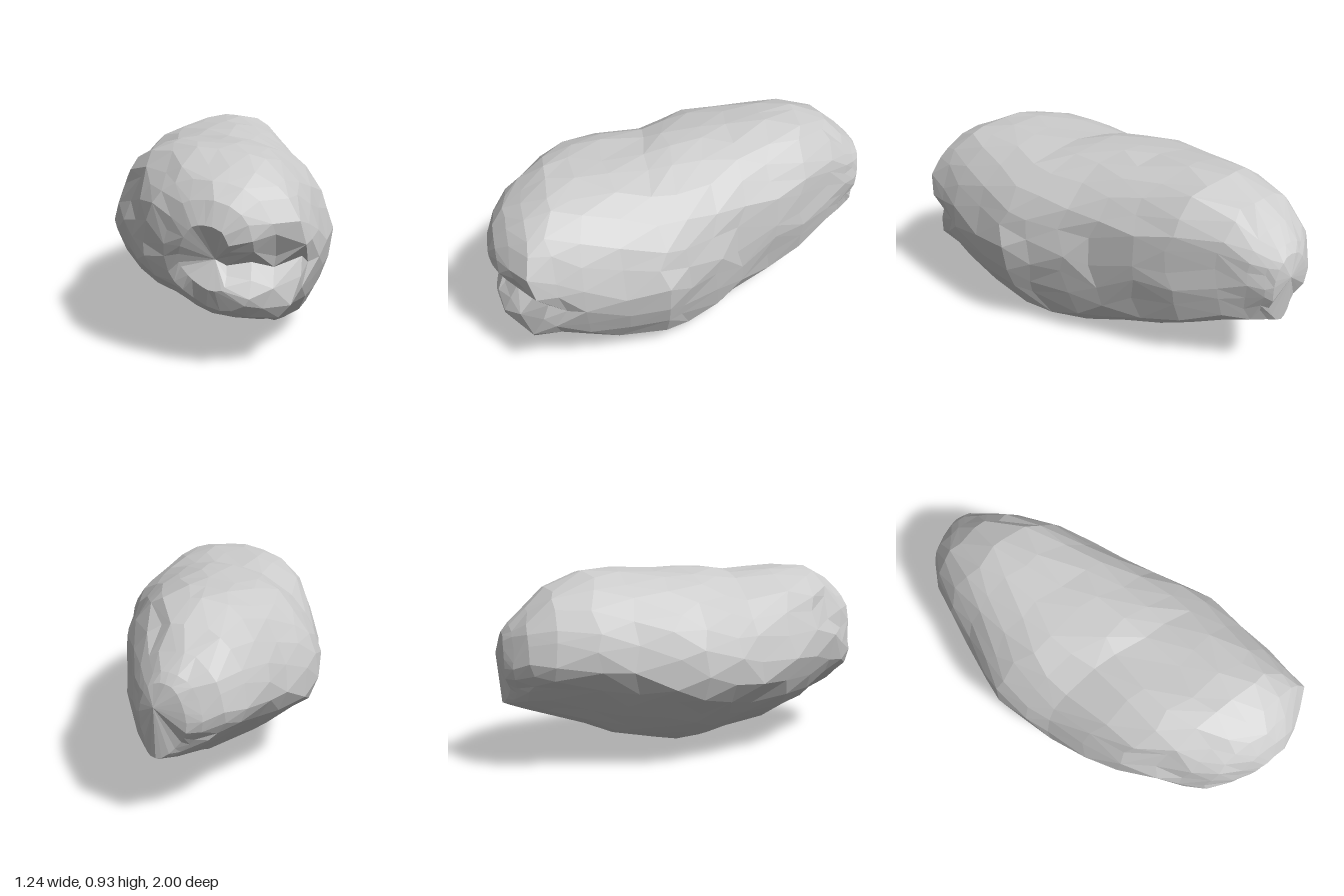
import * as THREE from 'three';

// Stations along the stone: z, left x, right x, bottom y, top y
const STATIONS = [
  [-0.975, -0.34, -0.12, 0.31, 0.65],
  [-0.94, -0.40, -0.09, 0.30, 0.69],
  [-0.87, -0.47, -0.04, 0.27, 0.76],
  [-0.76, -0.525, 0.04, 0.235, 0.85],
  [-0.58, -0.56, 0.17, 0.16, 0.92],
  [-0.40, -0.58, 0.25, 0.09, 0.93],
  [-0.22, -0.615, 0.34, 0.04, 0.925],
  [-0.08, -0.625, 0.42, 0.01, 0.92],
  [0.08, -0.58, 0.51, 0.0, 0.915],
  [0.20, -0.53, 0.58, 0.025, 0.905],
  [0.40, -0.46, 0.605, 0.06, 0.925],
  [0.57, -0.37, 0.615, 0.11, 0.93],
  [0.71, -0.25, 0.615, 0.165, 0.92],
  [0.82, -0.17, 0.625, 0.20, 0.86],
  [0.90, -0.08, 0.53, 0.23, 0.815],
  [0.96, 0.04, 0.45, 0.27, 0.74],
  [1.0, 0.13, 0.36, 0.36, 0.64],
];

// Cross-sections in a unit box, anticlockwise. The back has a high right ridge
// and a sloping lower left; the front is fuller below.
const BACK = [
  [1, 0.6], [0.95, 0.77], [0.82, 0.92], [0.6, 1], [0.31, 0.97], [0.15, 0.86],
  [0.05, 0.7], [0, 0.49], [0.025, 0.39], [0.18, 0.25], [0.39, 0.09],
  [0.66, 0], [0.88, 0.06], [0.97, 0.28],
];
const FRONT = [
  [1, 0.47], [0.965, 0.64], [0.9, 0.79], [0.72, 0.95], [0.31, 0.97], [0.14, 0.87],
  [0.04, 0.7], [0, 0.46], [0.05, 0.31], [0.19, 0.18], [0.4, 0.06],
  [0.64, 0], [0.83, 0.03], [0.96, 0.23],
];
const SIDES = 24;
const { lerp, smoothstep } = THREE.MathUtils;

function seeded(seed) {
  let s = seed;
  return () => (s = (s * 16807) % 2147483647) / 2147483647 - 0.5;
}

const bump = (v, centre, width) => Math.exp(-(((v - centre) / width) ** 2));

function sectionCurve(z) {
  const blend = smoothstep(z, 0, 0.5);
  const points = BACK.map(([u, v], i) => new THREE.Vector3(
    lerp(u, FRONT[i][0], blend), lerp(v, FRONT[i][1], blend), 0));
  return new THREE.CatmullRomCurve3(points, true, 'centripetal');
}

function stonePoints() {
  const rand = seeded(4711);
  const points = [];
  STATIONS.forEach(([z, xl, xr, yb, yt], i) => {
    const curve = sectionCurve(z);
    for (let j = 0; j < SIDES; j++) {
      const t = (j + (i % 2) * 0.5 + rand() * 0.5 + 1) / SIDES;
      const p = curve.getPointAt(t % 1);
      // lightly chipped surface
      const chip = 1.002 + rand() * 0.024;
      const x = lerp(xl, xr, 0.5 + (p.x - 0.5) * chip);
      const y = lerp(yb, yt, 0.5 + (p.y - 0.5) * chip);
      const shift = rand() * 0.06 * (1 - z ** 4);
      // undercut notch across the front right end, small one at the back
      const notch = smoothstep(z, 0.55, 0.88) * bump(y, 0.46, 0.07) * smoothstep(x, 0.02, 0.25);
      const backNotch = 0.03 * bump(y, 0.38, 0.045) * bump(z, -1, 0.1);
      points.push(new THREE.Vector3(
        x - notch * 0.05, y, z + shift - notch * 0.08 + backNotch));
    }
  });
  return points;
}

function stoneGeometry() {
  const points = stonePoints();
  const index = [];
  const rings = STATIONS.length;

  // Side facets, each split along its outward-bulging diagonal
  const plane = new THREE.Plane();
  for (let i = 0; i < rings - 1; i++) {
    for (let j = 0; j < SIDES; j++) {
      const k = (j + 1) % SIDES;
      const a = i * SIDES + j, b = i * SIDES + k;
      const d = a + SIDES, c = b + SIDES;
      plane.setFromCoplanarPoints(points[a], points[b], points[c]);
      if (plane.distanceToPoint(points[d]) < 0) index.push(a, b, c, a, c, d);
      else index.push(a, b, d, b, c, d);
    }
  }

  // Ends: a blunt tip at the back, the hollow of the notch at the front
  const back = points.length;
  points.push(new THREE.Vector3(-0.2, 0.55, -1), new THREE.Vector3(0.26, 0.48, 0.93));
  const last = (rings - 1) * SIDES;
  for (let j = 0; j < SIDES; j++) {
    const k = (j + 1) % SIDES;
    index.push(k, j, back, last + j, last + k, back + 1);
  }

  const geo = new THREE.BufferGeometry().setFromPoints(points);
  geo.setIndex(index);
  const faceted = geo.toNonIndexed();
  faceted.computeBoundingBox();
  faceted.translate(0, -faceted.boundingBox.min.y, 0);
  faceted.computeVertexNormals();
  return faceted;
}

export function createModel() {
  const group = new THREE.Group();
  group.name = 'rock';
  const stone = new THREE.Mesh(
    stoneGeometry(),
    new THREE.MeshStandardMaterial({ color: 0xcccccc, flatShading: true }));
  stone.name = 'boulder';
  group.add(stone);
  return group;
}
